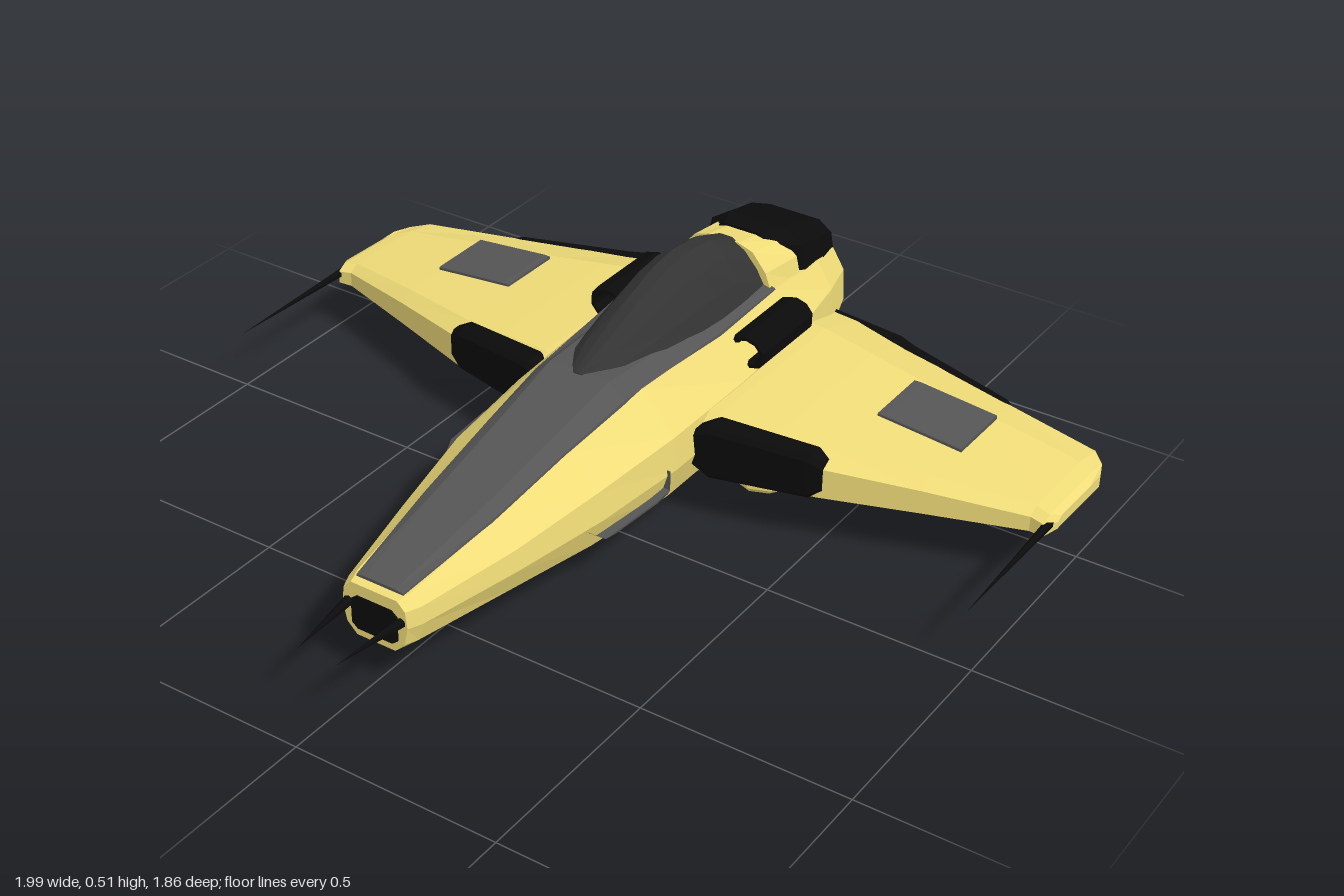
import * as THREE from 'three';

const paint = (color, extra = {}) => new THREE.MeshStandardMaterial({ color, flatShading: true, ...extra });
const yellow = paint(0xf0dc78);
const grey = paint(0x555555);
const glass = paint(0x333333);
const black = paint(0x0b0b0b);
const blackShell = paint(0x0b0b0b, { side: THREE.DoubleSide });

// Skin a list of closed rings; rings run counter-clockwise seen from the first ring's outer side
function loft(rings) {
  const n = rings[0].length, last = (rings.length - 1) * n, index = [];
  for (let r = 0; r < rings.length - 1; r++) {
    for (let i = 0; i < n; i++) {
      const a = r * n + i, b = r * n + (i + 1) % n;
      index.push(a, a + n, b, b, a + n, b + n);
    }
  }
  for (let i = 1; i < n - 1; i++) {
    index.push(0, i, i + 1, last, last + i + 1, last + i);
  }
  const geo = new THREE.BufferGeometry();
  geo.setAttribute('position', new THREE.Float32BufferAttribute(rings.flat(2), 3));
  geo.setIndex(index);
  return finish(geo);
}

function finish(geo) {
  const g = geo.index ? geo.toNonIndexed() : geo;
  g.computeVertexNormals();
  return g;
}

// Mirror across x = 0 and restore the winding
function mirrored(geo) {
  const g = geo.clone().scale(-1, 1, 1), p = g.attributes.position;
  const a = new THREE.Vector3(), b = new THREE.Vector3();
  for (let i = 0; i < p.count; i += 3) {
    a.fromBufferAttribute(p, i + 1);
    b.fromBufferAttribute(p, i + 2);
    p.setXYZ(i + 1, b.x, b.y, b.z);
    p.setXYZ(i + 2, a.x, a.y, a.z);
  }
  return finish(g);
}

// Full ring at depth z from a right-hand half profile, bottom to top
const symRing = (z, half) => [
  ...half.map(([x, y]) => [x, y, z]),
  ...half.slice().reverse().map(([x, y]) => [-x, y, z]),
];
const scaleRing = (ring, k, z, cy) => ring.map(([x, y]) => [x * k, cy + (y - cy) * k, z]);

// Wing slice at x, from leading edge zl to trailing edge zt
function wingRing([x, zl, zt, yb, yt]) {
  const c = zl - zt, m = (yb + yt) / 2 - 0.005, h = (yt - yb) * 0.32;
  return [
    [zl - 0.05 * c, yb], [zt + 0.25 * c, yb + 0.01], [zt, m - 0.015], [zt, m + 0.015],
    [zt + 0.25 * c, yt - 0.004], [zl - 0.08 * c, yt], [zl, m + h], [zl, m - h],
  ].map(([z, y]) => [x, y, z]);
}
// Chamfered rectangular slice at x
function slabRing([x, zf, zb, yb, yt], k = 0.01) {
  return [[zf - k, yb], [zb + k, yb], [zb, yb + k], [zb, yt - k], [zb + k, yt], [zf - k, yt], [zf, yt - k], [zf, yb + k]]
    .map(([z, y]) => [x, y, z]);
}

// Tapered spike between two points
function spike(from, to, radius) {
  const a = new THREE.Vector3(...from), d = new THREE.Vector3(...to).sub(a), len = d.length();
  const geo = new THREE.ConeGeometry(radius, len, 6).translate(0, len / 2, 0);
  geo.applyQuaternion(new THREE.Quaternion().setFromUnitVectors(new THREE.Vector3(0, 1, 0), d.normalize()));
  geo.translate(...from);
  return finish(geo);
}

// Shallow chamfered pod hanging below the wing
function pod(x, y, z, rx, rz, h) {
  const profile = [[0, -h], [0.62, -h], [0.9, -h * 0.75], [1, -h * 0.35], [1, h]].map(p => new THREE.Vector2(...p));
  return finish(new THREE.LatheGeometry(profile, 10).scale(rx, 1, rz).translate(x, y, z));
}

export function createModel() {
  const model = new THREE.Group();
  const add = (name, geo, mat) => {
    const mesh = new THREE.Mesh(geo, mat);
    mesh.name = name;
    model.add(mesh);
  };
  const pair = (name, geo, mat) => {
    add(name + 'Left', geo, mat);
    add(name + 'Right', mirrored(geo), mat);
  };

  // Fuselage with hollow tail
  const hull = [
    symRing(0.735, [[0.05, 0.1], [0.075, 0.125], [0.085, 0.17], [0.08, 0.21], [0.06, 0.23]]),
    symRing(0.7, [[0.055, 0.095], [0.085, 0.122], [0.1, 0.17], [0.095, 0.21], [0.07, 0.235]]),
    symRing(0.45, [[0.07, 0.068], [0.13, 0.115], [0.155, 0.175], [0.148, 0.225], [0.09, 0.275]]),
    symRing(0.2, [[0.085, 0.036], [0.172, 0.105], [0.2, 0.18], [0.19, 0.25], [0.105, 0.32]]),
    symRing(-0.06, [[0.1, 0.005], [0.198, 0.1], [0.222, 0.18], [0.213, 0.26], [0.125, 0.355]]),
    symRing(-0.35, [[0.1, 0.002], [0.198, 0.1], [0.222, 0.18], [0.213, 0.26], [0.14, 0.36]]),
    symRing(-0.6, [[0.1, 0.005], [0.19, 0.1], [0.215, 0.18], [0.205, 0.265], [0.14, 0.36]]),
    symRing(-0.8, [[0.092, 0.045], [0.165, 0.1], [0.185, 0.18], [0.18, 0.28], [0.14, 0.345]]),
    symRing(-0.92, [[0.08, 0.075], [0.13, 0.12], [0.15, 0.19], [0.145, 0.27], [0.11, 0.325]]),
  ];
  const tail = hull[hull.length - 1];
  hull.push(scaleRing(tail, 0.86, -0.925, 0.2), scaleRing(tail, 0.72, -0.86, 0.2));
  add('fuselage', loft(hull), yellow);
  add('exhaust', loft([scaleRing(tail, 0.66, -0.85, 0.2), scaleRing(tail, 0.6, -0.89, 0.2)]), black);

  // Nose opening
  const mouth = [[0.045, 0.118], [0.06, 0.13], [0.06, 0.19], [0.045, 0.202]];
  add('noseOpening', loft([symRing(0.738, mouth), symRing(0.7, mouth)]), black);
  pair('noseSpike', spike([0.072, 0.18, 0.7], [0.05, 0.18, 0.92], 0.014), black);

  // Grey strip along the back
  const strip = [
    [0.715, 0.062, 0.225, 0.24], [0.45, 0.092, 0.268, 0.295], [0.2, 0.108, 0.312, 0.345],
    [0, 0.122, 0.342, 0.388], [-0.35, 0.145, 0.35, 0.38], [-0.6, 0.142, 0.352, 0.375],
  ].map(([z, w, y, top]) => symRing(z, [[w, y], [w * 0.98, y + 0.012], [w * 0.65, top]]));
  add('backStrip', loft(strip), grey);

  // Canopy and the fairing behind it: depth, half width, base, peak
  const hump = ([z, w, y, top]) => symRing(z, [
    [w, y], [w * 0.8, y + (top - y) * 0.4], [w * 0.5, y + (top - y) * 0.78], [w * 0.14, top],
  ]);
  add('canopy', loft([
    [0.01, 0.035, 0.37, 0.388], [-0.08, 0.08, 0.37, 0.422], [-0.2, 0.105, 0.365, 0.467],
    [-0.32, 0.12, 0.36, 0.502], [-0.4, 0.125, 0.36, 0.51], [-0.5, 0.125, 0.36, 0.498], [-0.6, 0.118, 0.36, 0.462],
  ].map(hump)), glass);
  add('canopyFairing', loft([
    symRing(-0.59, [[0.14, 0.34], [0.118, 0.4], [0.08, 0.445], [0.04, 0.458]]),
    symRing(-0.72, [[0.14, 0.33], [0.125, 0.39], [0.085, 0.425], [0.04, 0.435]]),
  ]), yellow);

  // Rear engine block
  add('engineBlock', loft([
    symRing(-0.67, [[0.06, 0.36], [0.075, 0.38], [0.07, 0.43], [0.05, 0.45]]),
    symRing(-0.74, [[0.1, 0.31], [0.14, 0.345], [0.125, 0.41], [0.075, 0.443]]),
    symRing(-0.84, [[0.1, 0.285], [0.135, 0.32], [0.12, 0.39], [0.075, 0.422]]),
    symRing(-0.92, [[0.085, 0.28], [0.115, 0.305], [0.105, 0.36], [0.07, 0.385]]),
    symRing(-0.935, [[0.06, 0.295], [0.09, 0.315], [0.085, 0.345], [0.06, 0.365]]),
  ]), black);

  // Wings
  pair('wing', loft([
    [0.997, -0.38, -0.59, 0.145, 0.172], [0.98, -0.345, -0.635, 0.133, 0.182],
    [0.945, -0.35, -0.675, 0.13, 0.188], [0.72, -0.275, -0.72, 0.124, 0.215],
    [0.5, -0.2, -0.775, 0.118, 0.236], [0.38, -0.175, -0.805, 0.112, 0.248],
    [0.24, -0.15, -0.845, 0.108, 0.258], [0.14, -0.14, -0.855, 0.108, 0.26],
  ].map(wingRing)), yellow);
  pair('wingIntake', loft([
    [0.51, -0.195, -0.24, 0.15, 0.225], [0.48, -0.185, -0.25, 0.128, 0.24],
    [0.25, -0.135, -0.21, 0.122, 0.256], [0.2, -0.13, -0.2, 0.15, 0.235],
  ].map(s => slabRing(s, 0.012))), black);
  pair('wingFlap', loft([
    [0.72, -0.69, -0.725, 0.15, 0.178], [0.69, -0.69, -0.747, 0.148, 0.182], [0.41, -0.76, -0.818, 0.15, 0.195],
    [0.36, -0.78, -0.838, 0.15, 0.197], [0.14, -0.8, -0.86, 0.152, 0.2],
  ].map(s => slabRing(s, 0.008))), black);
  pair('wingPanel', loft([
    [0.728, -0.435, -0.608, 0.19, 0.221], [0.532, -0.435, -0.61, 0.2, 0.239], [0.515, -0.435, -0.61, 0.2, 0.239],
  ].map(s => slabRing(s, 0.002))), grey);
  pair('wingSpike', spike([0.982, 0.16, -0.38], [0.985, 0.16, 0.02], 0.011), black);
  pair('innerPod', pod(0.32, 0.1, -0.295, 0.082, 0.095, 0.03), yellow);
  pair('innerPodCap', pod(0.32, 0.08, -0.295, 0.05, 0.06, 0.014), yellow);
  pair('outerPod', pod(0.62, 0.12, -0.45, 0.065, 0.08, 0.014), yellow);

  // Open scoops on the shoulders
  const octagon = (Path, rx, ry) => new Path([...Array(10).keys()].map(i => {
    const a = (i + 0.5) * Math.PI / 5;
    return new THREE.Vector2(rx * Math.cos(a), ry * Math.sin(a));
  }));
  const scoop = octagon(THREE.Shape, 0.046, 0.04);
  scoop.holes.push(octagon(THREE.Path, 0.038, 0.031));
  pair('shoulderScoop', finish(new THREE.ExtrudeGeometry(scoop, {
    depth: 0.2, bevelEnabled: true, bevelSize: 0.006, bevelThickness: 0.012, bevelSegments: 1,
  }).translate(0.192, 0.31, -0.6)), blackShell);

  // Grey blisters on the flanks, following the taper of the hull
  const blister = [[0.255, 0.18], [0.2, 0.235], [0.03, 0.232], [-0.025, 0.195], [-0.025, 0.145], [0.02, 0.138], [0.2, 0.135]];
  const blisterRing = (x, k) => blister.map(([z, y]) => {
    const zz = 0.11 + (z - 0.11) * k;
    return [x - 0.085 * (zz - 0.1), 0.185 + (y - 0.185) * k, zz];
  }).reverse();
  pair('flankBlister', loft([blisterRing(0.228, 0.82), blisterRing(0.216, 1), blisterRing(0.17, 1)].map(r => r.reverse())), grey);

  return model;
}
